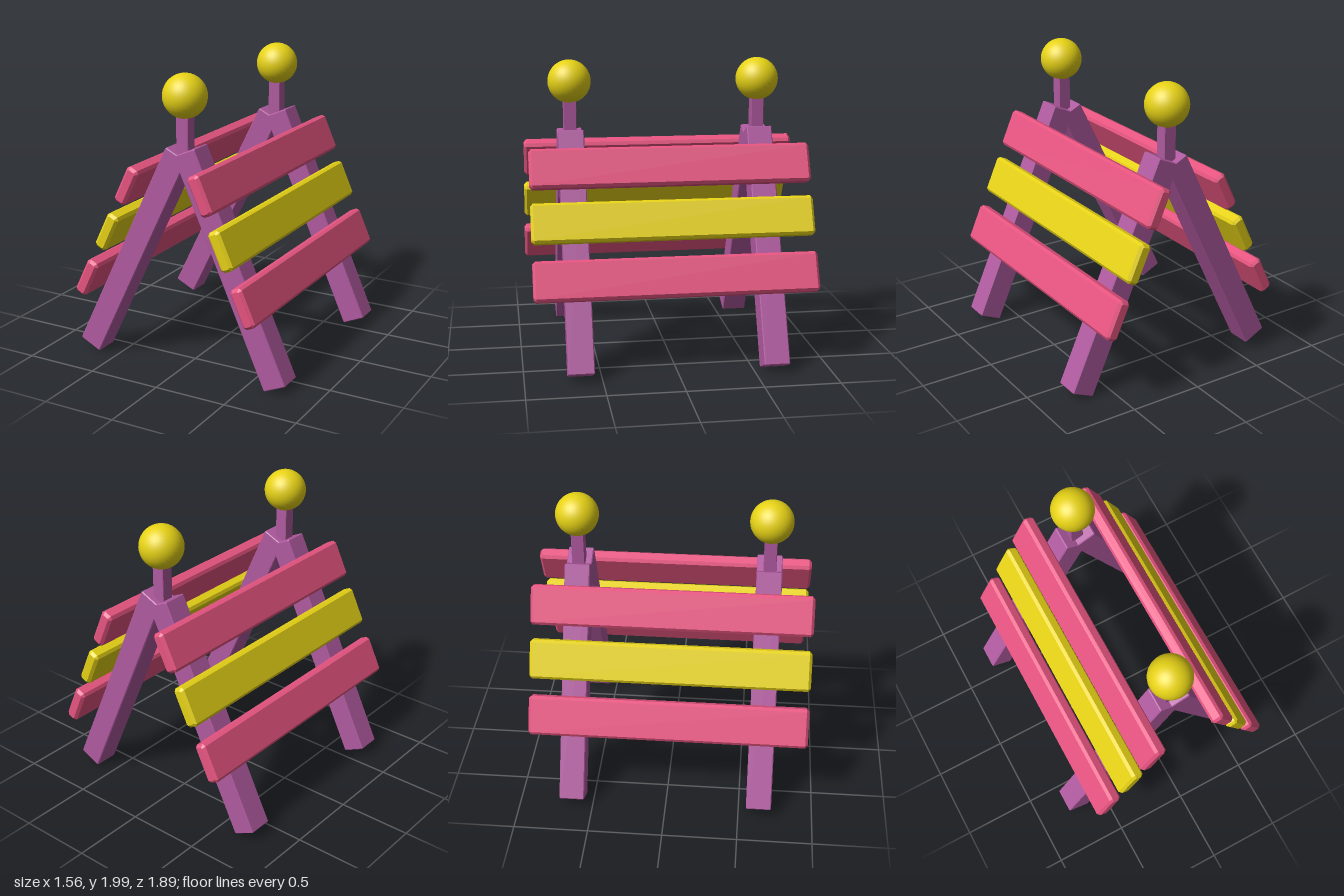
import * as THREE from 'three';

const purple = new THREE.MeshStandardMaterial({ color: 0xb05a9f });
const pink = new THREE.MeshStandardMaterial({ color: 0xe65480 });
const yellow = new THREE.MeshStandardMaterial({ color: 0xe6d216 });

// Box with every edge chamfered by c, centred on the origin
function chamferBox(w, h, d, c) {
  const x = w / 2, y = h / 2;
  const shape = new THREE.Shape([
    [x, -y + c], [x, y - c], [x - c, y], [-x + c, y],
    [-x, y - c], [-x, -y + c], [-x + c, -y], [x - c, -y],
  ].map(([a, b]) => new THREE.Vector2(a, b)));
  const geo = new THREE.ExtrudeGeometry(shape, {
    depth: d - 2 * c, bevelEnabled: true, bevelSegments: 1,
    bevelSize: c, bevelThickness: c, bevelOffset: -c,
  });
  return geo.translate(0, 0, -d / 2 + c);
}

export function createModel() {
  const group = new THREE.Group();
  const add = (name, geo, mat, x, y, z, tilt = 0) => {
    const mesh = new THREE.Mesh(geo, mat);
    mesh.name = name;
    mesh.position.set(x, y, z);
    mesh.rotation.z = THREE.MathUtils.degToRad(tilt);
    group.add(mesh);
  };

  // The two sides lean together at slightly different angles
  const sides = [
    { name: 'left', tilt: 23.9, leg: [0.384, 0.777], z: -0.01,
      boards: [[0.285, 1.312], [0.428, 0.98], [0.582, 0.635]] },
    { name: 'right', tilt: -26.2, leg: [-0.355, 0.773], z: 0.006,
      boards: [[-0.237, 1.308], [-0.396, 0.98], [-0.565, 0.637]] },
  ];
  const legGeo = chamferBox(0.165, 1.61, 0.17, 0.006);
  const boardGeo = chamferBox(0.088, 0.265, 1.873, 0.018);
  const postGeo = chamferBox(0.087, 0.4, 0.085, 0.003);
  const ballGeo = new THREE.SphereGeometry(0.144, 32, 20);

  for (const s of sides) {
    for (const z of [0.637, -0.637]) add(s.name + 'Leg', legGeo, purple, ...s.leg, z, s.tilt);
    s.boards.forEach(([x, y], i) =>
      add(s.name + 'Board', boardGeo, i === 1 ? yellow : pink, x, y, s.z, s.tilt));
  }

  // Warning lamps on short posts above each leg pair
  for (const z of [0.638, -0.638]) {
    add('lampPost', postGeo, purple, 0.025, 1.58, z);
    add('lampBall', ballGeo, yellow, 0.025, 1.857, z);
  }
  return group;
}
